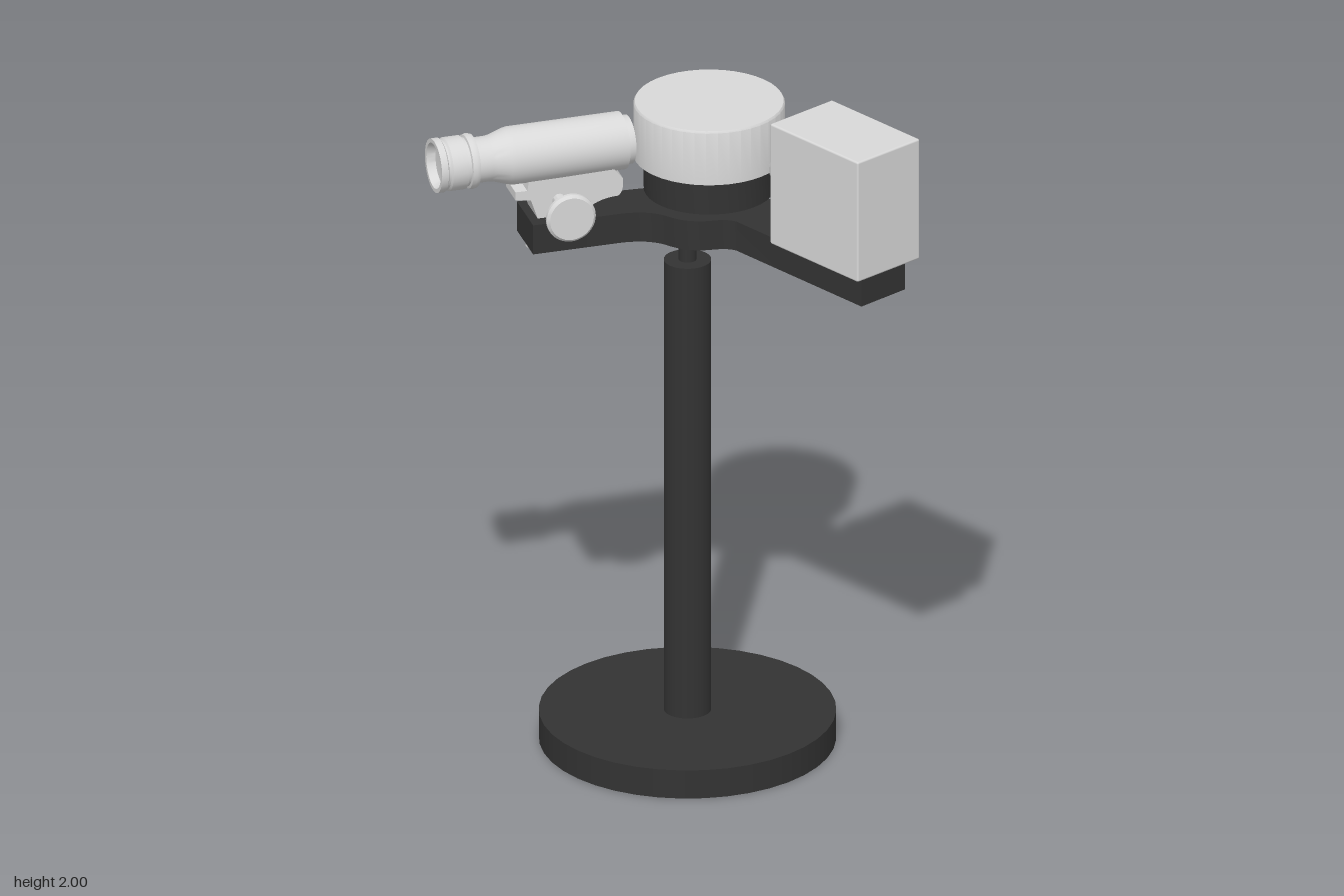
import * as THREE from 'three';
import { toCreasedNormals } from 'three/addons/utils/BufferGeometryUtils.js';
import { RoundedBoxGeometry } from 'three/addons/geometries/RoundedBoxGeometry.js';

export function createModel() {
  const model = new THREE.Group();
  model.name = 'spectrometer';
  const black = new THREE.MeshStandardMaterial({ color: 0x333333 });
  black.name = 'black enamel';
  const silver = new THREE.MeshStandardMaterial({ color: 0xd8d8d8 });
  silver.name = 'pale metal';

  function add(name, geometry, material, x = 0, y = 0, z = 0, parent = model) {
    const mesh = new THREE.Mesh(geometry, material);
    mesh.name = name;
    mesh.position.set(x, y, z);
    parent.add(mesh);
    return mesh;
  }
  // Upright cylinder between two heights
  const post = (name, r, y0, y1, x, z, material) =>
    add(name, new THREE.CylinderGeometry(r, r, y1 - y0, 40), material, x, (y0 + y1) / 2, z);
  // Turned part from [radius, height] pairs, with crisp edges
  const turned = (points) => toCreasedNormals(
    new THREE.LatheGeometry(points.map(([r, y]) => new THREE.Vector2(r, y)), 40), 0.6);

  // Stand
  const cx = 0.083, cz = -0.087;
  post('base', 0.42, 0, 0.087, cx, cz, black);
  post('column', 0.067, 0.087, 1.482, cx, cz, black);
  post('neck', 0.025, 1.482, 1.54, cx, cz, black);

  // Bent plate with two arms and a rounded web over the column
  const plate = new THREE.Shape();
  plate.moveTo(-0.36, 0.29);
  plate.lineTo(-0.36, 0.12);
  plate.lineTo(-0.1, 0.13);
  plate.quadraticCurveTo(-0.02, 0.13, 0.02, 0.08);
  plate.quadraticCurveTo(0.06, 0.02, 0.13, 0.015);
  plate.quadraticCurveTo(0.18, 0.015, 0.2, -0.01);
  plate.lineTo(0.437, -0.47);
  plate.lineTo(0.587, -0.39);
  plate.lineTo(0.3, 0.175);
  plate.quadraticCurveTo(0.25, 0.27, 0.15, 0.275);
  plate.lineTo(0, 0.28);
  const plateGeometry = new THREE.ExtrudeGeometry(plate, { depth: 0.09, bevelEnabled: false, curveSegments: 10 });
  plateGeometry.rotateX(-Math.PI / 2);
  add('armPlate', toCreasedNormals(plateGeometry, 0.6), black, 0, 1.536, 0);
  for (const x of [-0.34, -0.145]) post('plateScrew', 0.018, 1.524, 1.54, x, -0.205, silver);

  // Prism table
  const tx = 0.188, tz = -0.235;
  add('tableBase', turned([[0, 0], [0.185, 0], [0.185, 0.105], [0, 0.105]]), black, tx, 1.626, tz);
  add('prismTable', turned([[0, 0], [0.214, 0], [0.214, 0.16], [0.21, 0.166], [0, 0.166]]), silver, tx, 1.73, tz);

  // Telescope, laid along local -x from the table axis
  const telescope = new THREE.Group();
  telescope.name = 'telescope';
  telescope.position.set(tx, 1.812, -0.232);
  telescope.rotation.y = 0.047;
  model.add(telescope);
  const tube = turned([
    [0, 0.24], [0.07, 0.24], [0.07, 0.262], [0.083, 0.262], [0.083, 0.595],
    [0.08, 0.61], [0.067, 0.65], [0.065, 0.662], [0.065, 0.702], [0.077, 0.704],
    [0.08, 0.715], [0.077, 0.726], [0.07, 0.728], [0.07, 0.736], [0.077, 0.738],
    [0.077, 0.785], [0.072, 0.79], [0.072, 0.796], [0.078, 0.8], [0.078, 0.82],
    [0.066, 0.82], [0.058, 0.795], [0, 0.79],
  ]);
  tube.rotateZ(Math.PI / 2);
  add('telescopeTube', tube, silver, 0, 0, 0, telescope);

  // Cradle carrying the telescope on its arm
  const cradle = new THREE.Shape();
  cradle.moveTo(-0.4, 1.715);
  cradle.lineTo(-0.4, 1.69);
  cradle.lineTo(-0.355, 1.685);
  cradle.lineTo(-0.335, 1.626);
  cradle.lineTo(-0.2, 1.626);
  cradle.quadraticCurveTo(-0.17, 1.665, -0.1, 1.668);
  cradle.quadraticCurveTo(-0.082, 1.675, -0.085, 1.72);
  cradle.lineTo(-0.11, 1.75);
  cradle.lineTo(-0.36, 1.75);
  cradle.lineTo(-0.365, 1.715);
  const cradleGeometry = new THREE.ExtrudeGeometry(cradle, { depth: 0.1, bevelEnabled: false, curveSegments: 8 });
  add('telescopeCradle', toCreasedNormals(cradleGeometry, 0.6), silver, 0, 0, -0.262);

  // Focus knob and its shaft
  const knob = turned([
    [0, -0.16], [0.02, -0.16], [0.02, 0], [0.062, 0.002], [0.072, 0.01],
    [0.072, 0.02], [0.064, 0.028], [0, 0.028],
  ]);
  knob.rotateX(Math.PI / 2);
  add('focusKnob', knob, silver, -0.272, 1.675, -0.055);

  // Lamp housing on the other arm, with its collimator lens facing the table
  const lamp = new THREE.Group();
  lamp.name = 'lampHousing';
  lamp.position.set(0.439, 0, 0.289);
  lamp.rotation.y = Math.atan2(0.46, 0.888);
  model.add(lamp);
  add('housing', new RoundedBoxGeometry(0.24, 0.372, 0.364, 2, 0.006), silver, 0, 1.814, 0, lamp);
  const lens = turned([[0, -0.02], [0.054, -0.02], [0.054, 0.065], [0.05, 0.078], [0.04, 0.087], [0, 0.09]]);
  lens.rotateX(-Math.PI / 2);
  add('collimator', lens, silver, 0, 1.81, -0.182, lamp);

  return model;
}
